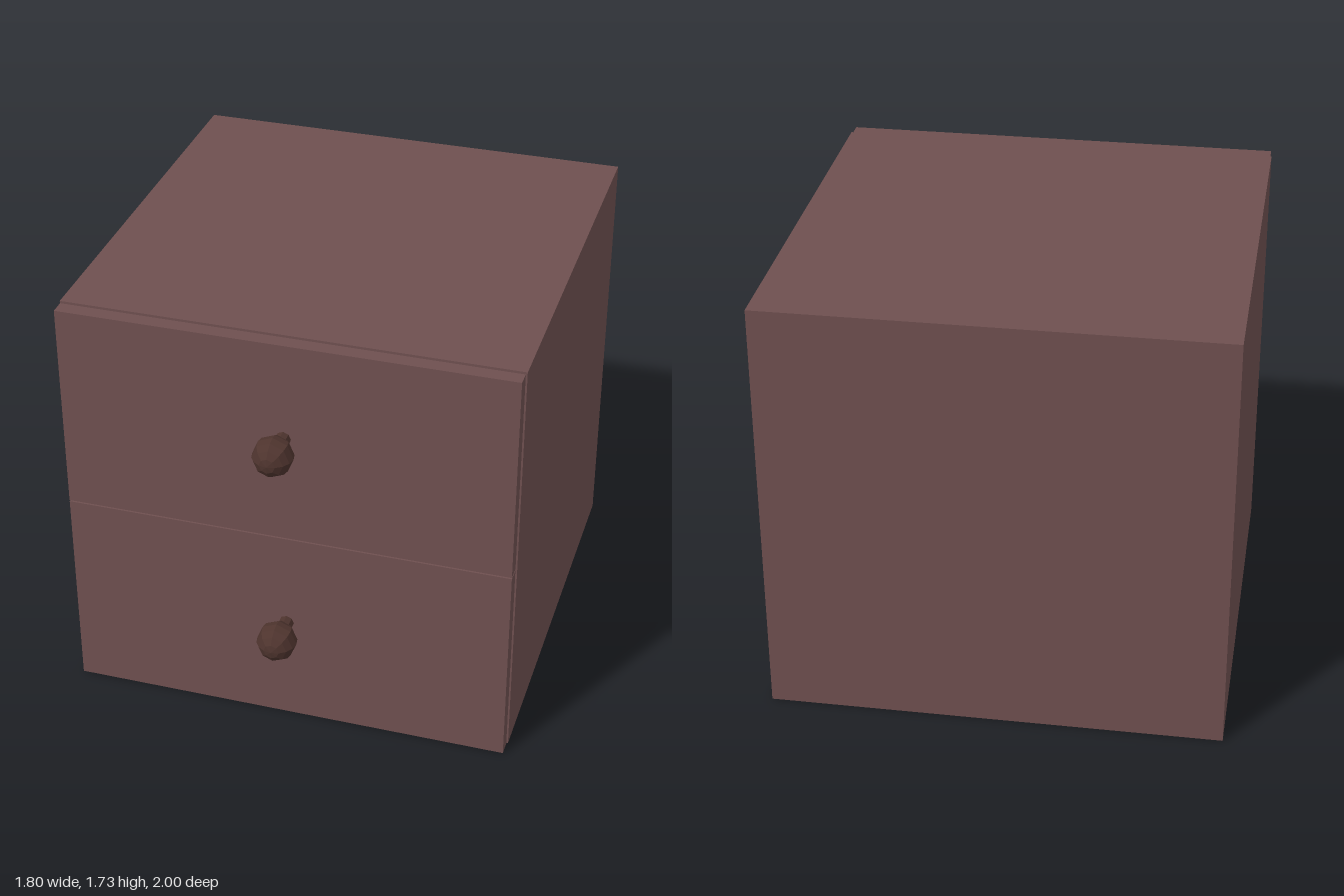
import * as THREE from 'three';

export function createModel() {
  const model = new THREE.Group();
  model.name = 'twoDrawerCabinet';

  const wood = new THREE.MeshStandardMaterial({ color: 0x6e4f4f });
  wood.name = 'dusky brown wood';
  const dark = new THREE.MeshStandardMaterial({ color: 0x4e342e, flatShading: true });
  dark.name = 'dark brown knob';

  const add = (parent, name, geometry, material, x, y, z) => {
    const mesh = new THREE.Mesh(geometry, material);
    mesh.name = name;
    mesh.position.set(x, y, z);
    parent.add(mesh);
    return mesh;
  };

  // Cabinet body
  add(model, 'cabinetBody', new THREE.BoxGeometry(1.796, 1.73, 1.728), wood, 0, 0.865, -0.136);

  // Shared drawer parts: front panel, box behind it, faceted knob and stem
  const frontGeometry = new THREE.BoxGeometry(1.786, 0.858, 0.06);
  const boxGeometry = new THREE.BoxGeometry(1.646, 0.715, 0.1);
  const knobGeometry = new THREE.SphereGeometry(0.08, 8, 8).rotateX(Math.PI / 2);
  const stemGeometry = new THREE.CylinderGeometry(0.03, 0.03, 0.1, 8).rotateX(Math.PI / 2);

  ['lowerDrawer', 'upperDrawer'].forEach((name, i) => {
    const drawer = new THREE.Group();
    drawer.name = name;
    drawer.position.y = 0.433 + i * 0.864;
    add(drawer, 'drawerFront', frontGeometry, wood, 0, 0, 0.767);
    add(drawer, 'drawerBox', boxGeometry, wood, 0, 0, 0.688);
    add(drawer, 'knobStem', stemGeometry, dark, 0, 0.027, 0.825);
    add(drawer, 'knob', knobGeometry, dark, 0, 0.027, 0.92);
    model.add(drawer);
  });

  return model;
}
